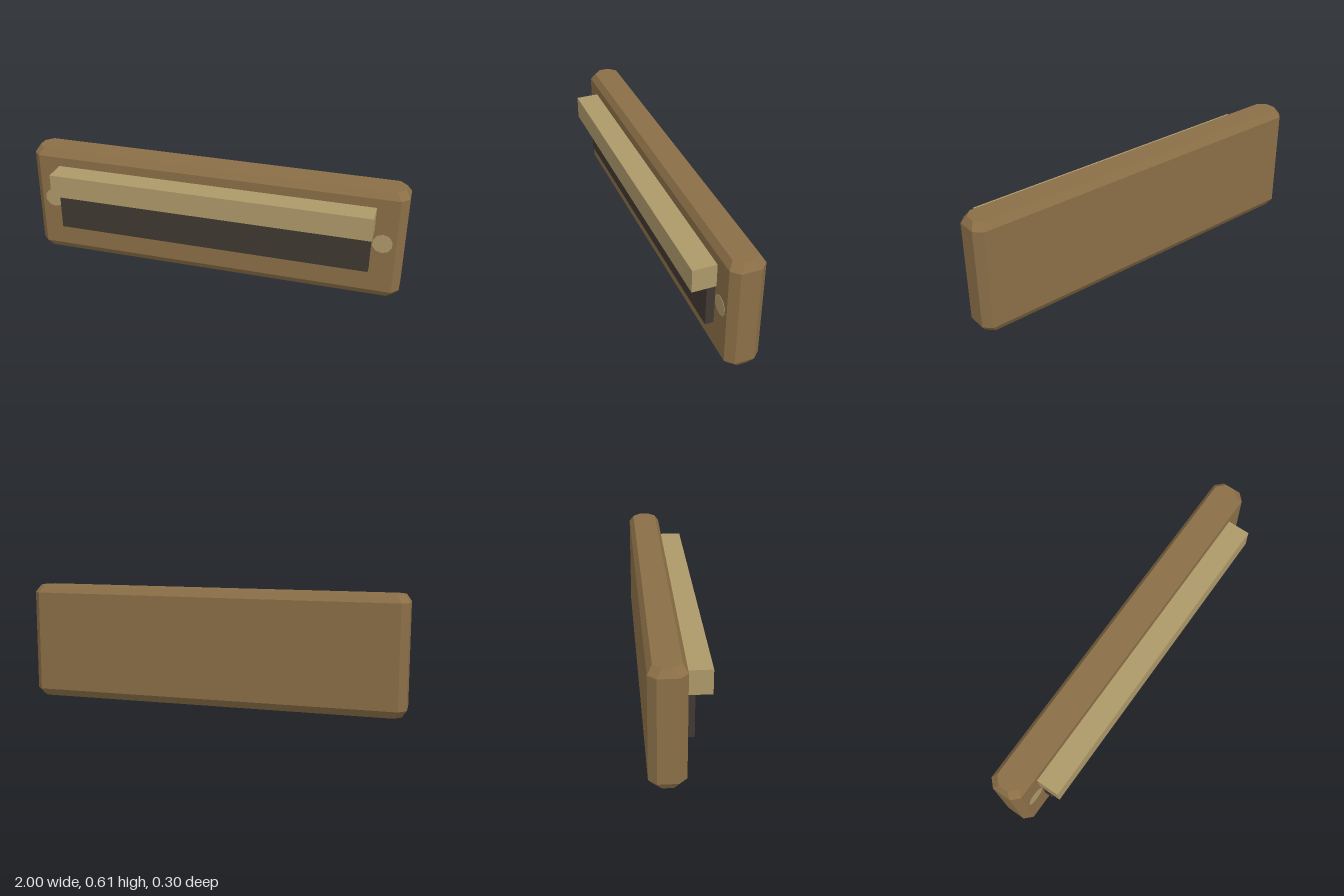
import * as THREE from 'three';
import { ConvexGeometry } from 'three/addons/geometries/ConvexGeometry.js';

export function createModel() {
  const group = new THREE.Group();
  const material = (name, color) => {
    const m = new THREE.MeshStandardMaterial({ color });
    m.name = name;
    return m;
  };
  const bronze = material('bronze', 0x8b6f47);
  const paleBrass = material('pale brass', 0xad9869);
  const darkSlot = material('dark slot', 0x403832);

  const add = (name, geometry, mat, x, y, z) => {
    const mesh = new THREE.Mesh(geometry, mat);
    mesh.name = name;
    mesh.position.set(x, y, z);
    group.add(mesh);
    return mesh;
  };

  // Chamfered plate: octagonal sections, drawn in at the top and bottom
  const H = 0.605, bevel = 0.038, inset = 0.023, cut = 0.038;
  const points = [];
  for (const [y, d] of [[0, inset], [bevel, 0], [H - bevel, 0], [H, inset]]) {
    const hx = 1 - d, hz = 0.0875 - d;
    for (const sx of [-1, 1]) {
      for (const sz of [-1, 1]) {
        points.push(new THREE.Vector3(sx * hx, y, sz * (hz - cut)));
        points.push(new THREE.Vector3(sx * (hx - cut), y, sz * hz));
      }
    }
  }
  add('backPlate', new ConvexGeometry(points), bronze, 0, 0, -0.0605);

  // Dark slot panel with the projecting hood above it
  add('slotPanel', new THREE.BoxGeometry(1.676, 0.225, 0.053), darkSlot, 0, 0.2825, 0.0435);
  add('hood', new THREE.BoxGeometry(1.696, 0.123, 0.131), paleBrass, 0, 0.4565, 0.0825);

  // Flush screw heads at both ends
  for (const side of [-1, 1]) {
    const screw = new THREE.CylinderGeometry(0.052, 0.052, 0.008, 10);
    screw.rotateX(Math.PI / 2);
    add(side > 0 ? 'leftScrew' : 'rightScrew', screw, paleBrass, side * 0.893, 0.32, 0.025);
  }
  return group;
}
